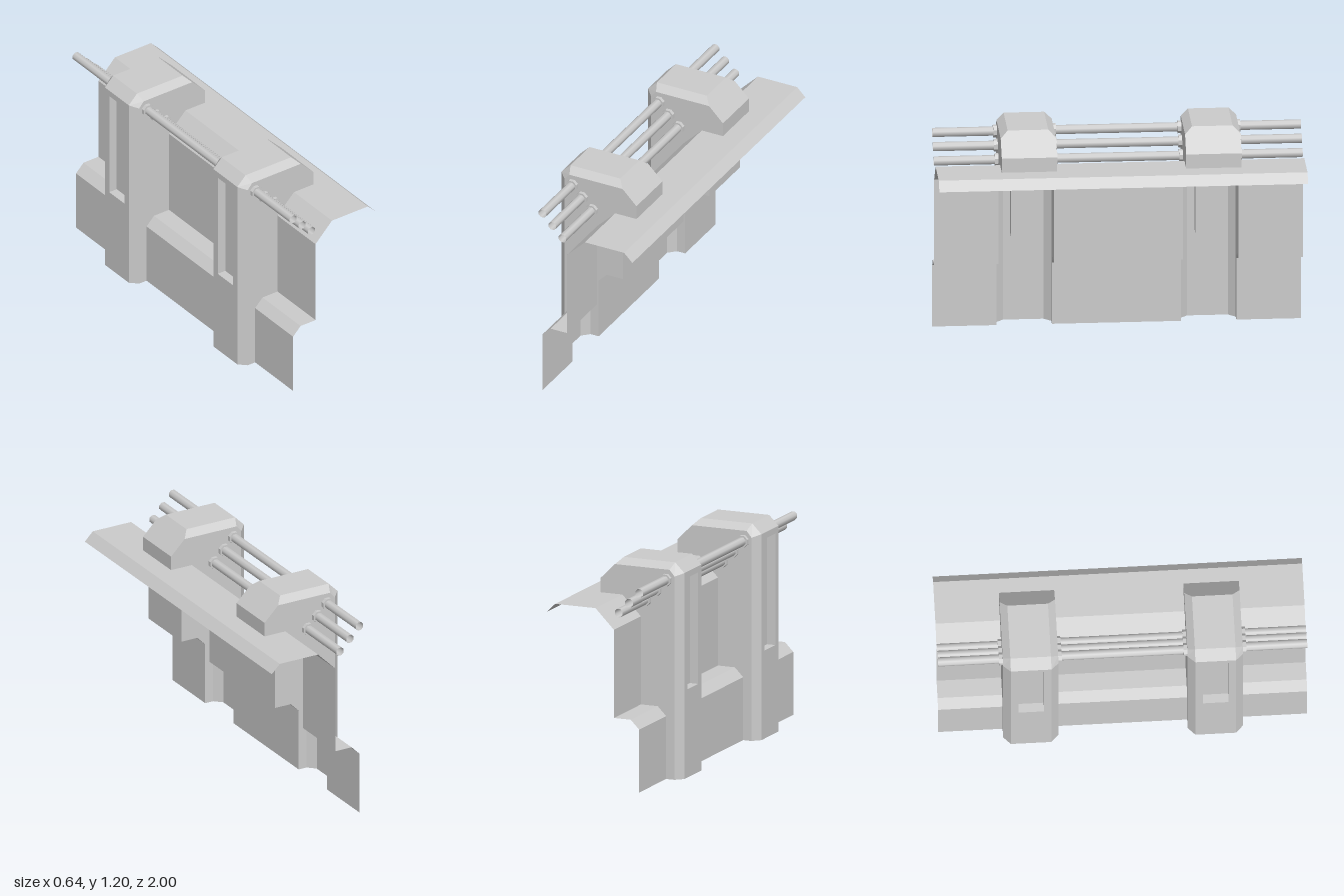
import * as THREE from 'three';

const material = new THREE.MeshStandardMaterial({
  color: 0xcccccc, flatShading: true, side: THREE.DoubleSide,
});
const smoothMaterial = new THREE.MeshStandardMaterial({ color: 0xcccccc, side: THREE.DoubleSide });

function named(name, geometry, mat = material) {
  const mesh = new THREE.Mesh(geometry, mat);
  mesh.name = name;
  return mesh;
}

// Open surface skinned between rows of [x, y, z] points; skip(row, column) leaves a gap
function skin(rows, skip = () => false) {
  const pos = [];
  for (let r = 0; r + 1 < rows.length; r++) {
    for (let c = 0; c + 1 < rows[r].length; c++) {
      if (skip(r, c)) continue;
      const a = rows[r][c], b = rows[r + 1][c], d = rows[r + 1][c + 1], e = rows[r][c + 1];
      pos.push(...a, ...b, ...d, ...a, ...d, ...e);
    }
  }
  const geometry = new THREE.BufferGeometry();
  geometry.setAttribute('position', new THREE.Float32BufferAttribute(pos, 3));
  geometry.computeVertexNormals();
  return geometry;
}

const at = (profile, z) => profile.map(([x, y]) => [x, y, z]);

// Wall section from the foot up to where the post caps end, then the overhanging lip
const wallProfile = [[-0.23, 0], [-0.23, 0.35], [-0.18, 0.4], [-0.08, 0.4], [-0.08, 0.89], [0.03, 1], [0.16, 1]];
const lipProfile = [[0.16, 1], [0.27, 1], [0.32, 0.95]];

// Post outline on its middle band, and on its side faces
const ridge = [[-0.32, 0], [-0.32, 1.145], [-0.265, 1.2], [0.04, 1.2], [0.16, 1.08], [0.16, 1]];
const flank = [[-0.28, 0], [-0.28, 1.13], [-0.25, 1.165], [0.075, 1.165], [0.16, 1.08], [0.16, 1]];
const HALF = 0.15, BAND = 0.11;

function createPost() {
  const post = new THREE.Group();
  post.name = 'post';

  // Chamfered hollow shell, leaving out the back face
  post.add(named('postShell', skin(
    [at(flank, -HALF), at(ridge, -BAND), at(ridge, BAND), at(flank, HALF)],
    (r, c) => r === 1 && c === 0,
  )));

  // Back face with a slot cut out
  const zs = [-BAND, -0.07, 0.07, BAND], ys = [0, 0.49, 1.11, 1.145];
  post.add(named('postBack', skin(
    zs.map((z) => ys.map((y) => [-0.32, y, z])),
    (r, c) => r === 1 && c === 1,
  )));

  // Recessed tray behind the slot
  const tray = new THREE.BoxGeometry(0.05, 0.62, 0.14);
  const open = tray.groups[1]; // the -x face
  tray.setIndex([...tray.index.array].filter((_, i) => i < open.start || i >= open.start + open.count));
  tray.translate(-0.295, 0.8, 0);
  post.add(named('slotRecess', tray));

  // Side walls following the stepped wall section
  const outline = [...flank, ...wallProfile.slice(0, 6).reverse()];
  const side = new THREE.Shape(outline.map(([x, y]) => new THREE.Vector2(x, y)));
  for (const z of [-HALF, HALF]) {
    const mesh = named('postSide', new THREE.ShapeGeometry(side));
    mesh.position.z = z;
    post.add(mesh);
  }
  return post;
}

export function createModel() {
  const model = new THREE.Group();
  model.name = 'wallSection';

  // Wall panels between the posts
  for (const [z0, z1] of [[-1, -0.65], [-0.35, 0.35], [0.65, 1]]) {
    model.add(named('wallPanel', skin([at(wallProfile, z0), at(wallProfile, z1)])));
  }
  model.add(named('lip', skin([at(lipProfile, -1), at(lipProfile, 1)])));

  // Posts
  for (const z of [-0.5, 0.5]) {
    const post = createPost();
    post.position.z = z;
    model.add(post);
  }

  // Open pipes running through the posts, with a collar at each post side
  for (const [x, y] of [[-0.23, 1.108], [-0.17, 1.047], [-0.108, 0.986]]) {
    const pipe = named('pipe', new THREE.CylinderGeometry(0.025, 0.025, 2, 8, 1, true, Math.PI / 8), smoothMaterial);
    pipe.rotation.x = Math.PI / 2;
    pipe.position.set(x, y, 0);
    model.add(pipe);
    for (const z of [-0.66, -0.34, 0.34, 0.66]) {
      const collar = named('pipeCollar', new THREE.CylinderGeometry(0.035, 0.035, 0.02, 8, 1, false, Math.PI / 8));
      collar.rotation.x = Math.PI / 2;
      collar.position.set(x, y, z);
      model.add(collar);
    }
  }
  return model;
}
